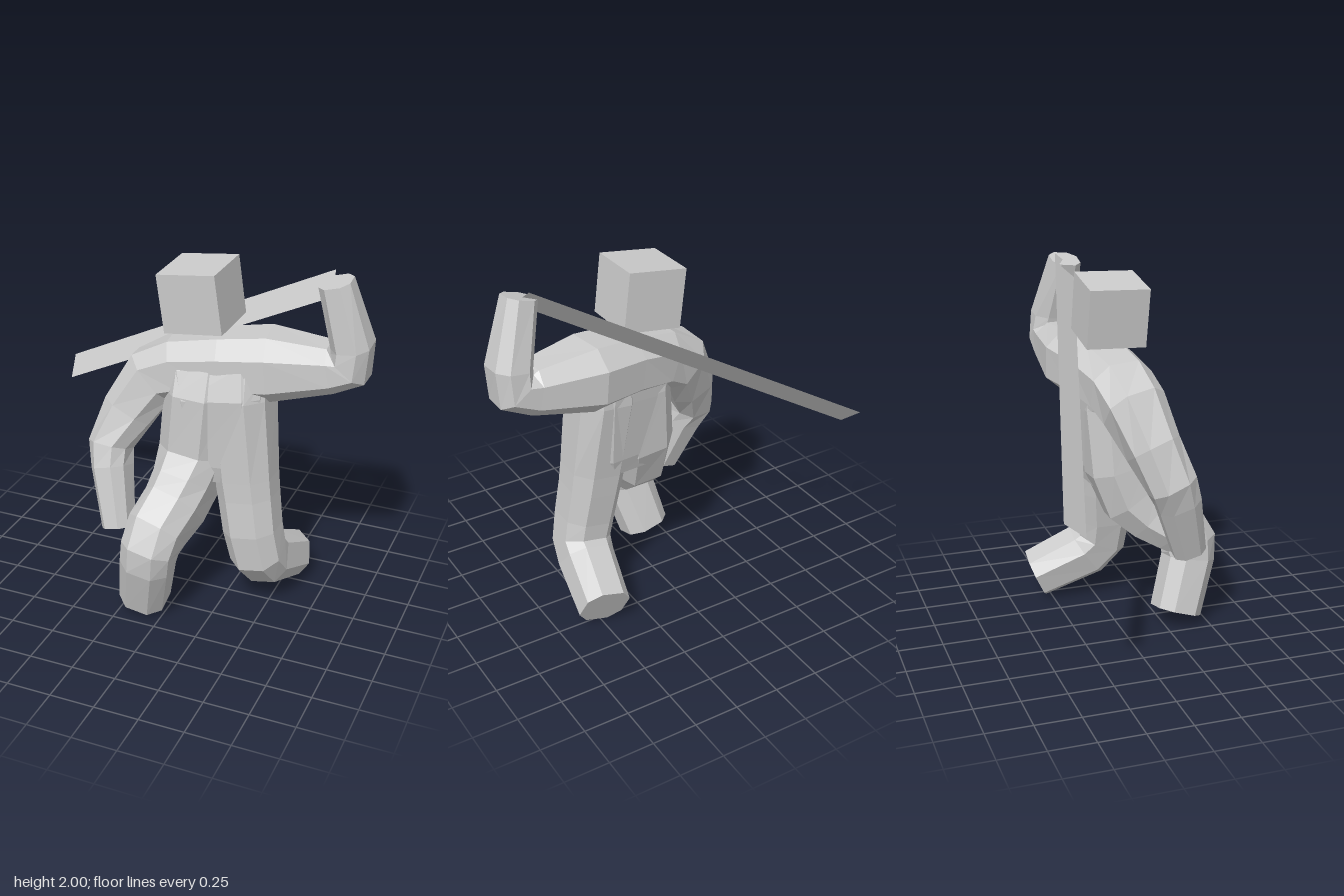
import * as THREE from 'three';

const material = new THREE.MeshStandardMaterial({ color: 0xcccccc, flatShading: true });
const V = (x, y, z) => new THREE.Vector3(x, y, z);

// Chamfered cross-section; c is the half length of each flat side
const octagon = (c) => [[1, -c], [1, c], [c, 1], [-c, 1], [-1, c], [-1, -c], [-c, -1], [c, -1]];

// Loft along rings [x, y, z, halfU, halfV]; V follows the side vector, U = V x tangent
function loft(name, side, chamfer, rings) {
  const section = octagon(chamfer);
  const centres = rings.map(([x, y, z]) => V(x, y, z));
  const last = rings.length - 1;
  const step = (i) => centres[i + 1].clone().sub(centres[i]).normalize();
  const loops = rings.map(([, , , halfU, halfV], i) => {
    const t = V(0, 0, 0);
    if (i > 0) t.add(step(i - 1));
    if (i < last) t.add(step(i));
    t.normalize();
    const v = side.clone().addScaledVector(t, -side.dot(t)).normalize();
    const u = v.clone().cross(t);
    return section.map(([a, b]) =>
      centres[i].clone().addScaledVector(u, a * halfU).addScaledVector(v, b * halfV));
  });
  const points = [];
  const n = section.length;
  for (let j = 0; j < n; j++) {
    const k = (j + 1) % n;
    for (let i = 0; i < last; i++) {
      const [p, q] = [loops[i], loops[i + 1]];
      points.push(p[j], p[k], q[k], p[j], q[k], q[j]);
    }
    points.push(centres[0], loops[0][k], loops[0][j]);
    points.push(centres[last], loops[last][j], loops[last][k]);
  }
  const geometry = new THREE.BufferGeometry().setFromPoints(points);
  geometry.computeVertexNormals();
  const mesh = new THREE.Mesh(geometry, material);
  mesh.name = name;
  return mesh;
}

export function createModel() {
  const model = new THREE.Group();
  model.name = 'figure';

  // Head: a tilted cube floating just above the shoulders
  const head = new THREE.Mesh(new THREE.BoxGeometry(0.33, 0.325, 0.33), material);
  head.name = 'head';
  head.position.set(0.075, 1.805, 0);
  head.rotation.set(0.03, -0.03, 0.13);
  model.add(head);

  // Middle of the torso, turned slightly to its right
  model.add(loft('torso', V(0.12, 0, 0.99), 0.65, [
    [0.215, 0.8, 0.035, 0.16, 0.14],
    [0.21, 0.9, 0.035, 0.22, 0.165],
    [0.2, 1.28, 0.03, 0.25, 0.2],
    [0.17, 1.43, 0.0, 0.27, 0.18],
    [0.15, 1.54, -0.02, 0.22, 0.13],
  ]));

  // Arms and shoulders: one chain from the raised left hand to the hanging right hand
  model.add(loft('armsAndShoulders', V(0, 0, 1), 0.5, [
    [0.785, 1.96, -0.045, 0.085, 0.085],
    [0.88, 1.62, -0.085, 0.103, 0.13],
    [0.875, 1.505, -0.09, 0.118, 0.14],
    [0.78, 1.475, -0.09, 0.125, 0.145],
    [0.45, 1.45, -0.06, 0.18, 0.21],
    [0.2, 1.43, -0.01, 0.17, 0.195],
    [-0.04, 1.39, 0.025, 0.165, 0.175],
    [-0.18, 1.32, 0.05, 0.16, 0.165],
    [-0.295, 1.12, 0.12, 0.14, 0.14],
    [-0.375, 0.93, 0.2, 0.11, 0.13],
    [-0.35, 0.82, 0.245, 0.1, 0.12],
    [-0.275, 0.5, 0.34, 0.08, 0.09],
  ]));

  // Left flank and leg, kicked back from the knee
  model.add(loft('leftFlankAndLeg', V(1, 0.2, 0), 0.5, [
    [0.31, 1.42, -0.01, 0.17, 0.16],
    [0.315, 1.28, 0.01, 0.195, 0.165],
    [0.36, 0.82, 0.035, 0.16, 0.16],
    [0.378, 0.7, 0.04, 0.155, 0.155],
    [0.41, 0.5, 0.055, 0.15, 0.15],
    [0.44, 0.35, 0.045, 0.15, 0.145],
    [0.455, 0.265, -0.035, 0.15, 0.14],
    [0.505, 0.13, -0.33, 0.13, 0.13],
  ]));

  // Right flank and leg, stepping forward
  model.add(loft('rightFlankAndLeg', V(1, 0, 0), 0.5, [
    [0.1, 1.42, 0.02, 0.17, 0.18],
    [0.1, 1.28, 0.045, 0.2, 0.18],
    [0.07, 0.92, 0.06, 0.19, 0.18],
    [0.045, 0.75, 0.14, 0.205, 0.165],
    [0.02, 0.65, 0.24, 0.185, 0.16],
    [-0.03, 0.55, 0.365, 0.16, 0.155],
    [-0.05, 0.46, 0.425, 0.145, 0.145],
    [-0.065, 0.37, 0.42, 0.135, 0.14],
    [-0.13, 0.075, 0.325, 0.13, 0.13],
  ]));

  // Blade: a thin strip held behind the back
  const bladeGeometry = new THREE.BufferGeometry().setFromPoints([
    V(0.76, 2, -0.11), V(-0.99, 1.04, -0.58), V(-0.96, 0.94, -0.46), V(0.79, 1.9, 0.01),
  ]);
  bladeGeometry.setIndex([0, 1, 2, 0, 2, 3]);
  bladeGeometry.computeVertexNormals();
  const blade = new THREE.Mesh(bladeGeometry, material.clone());
  blade.material.side = THREE.DoubleSide;
  blade.name = 'blade';
  model.add(blade);

  return model;
}
